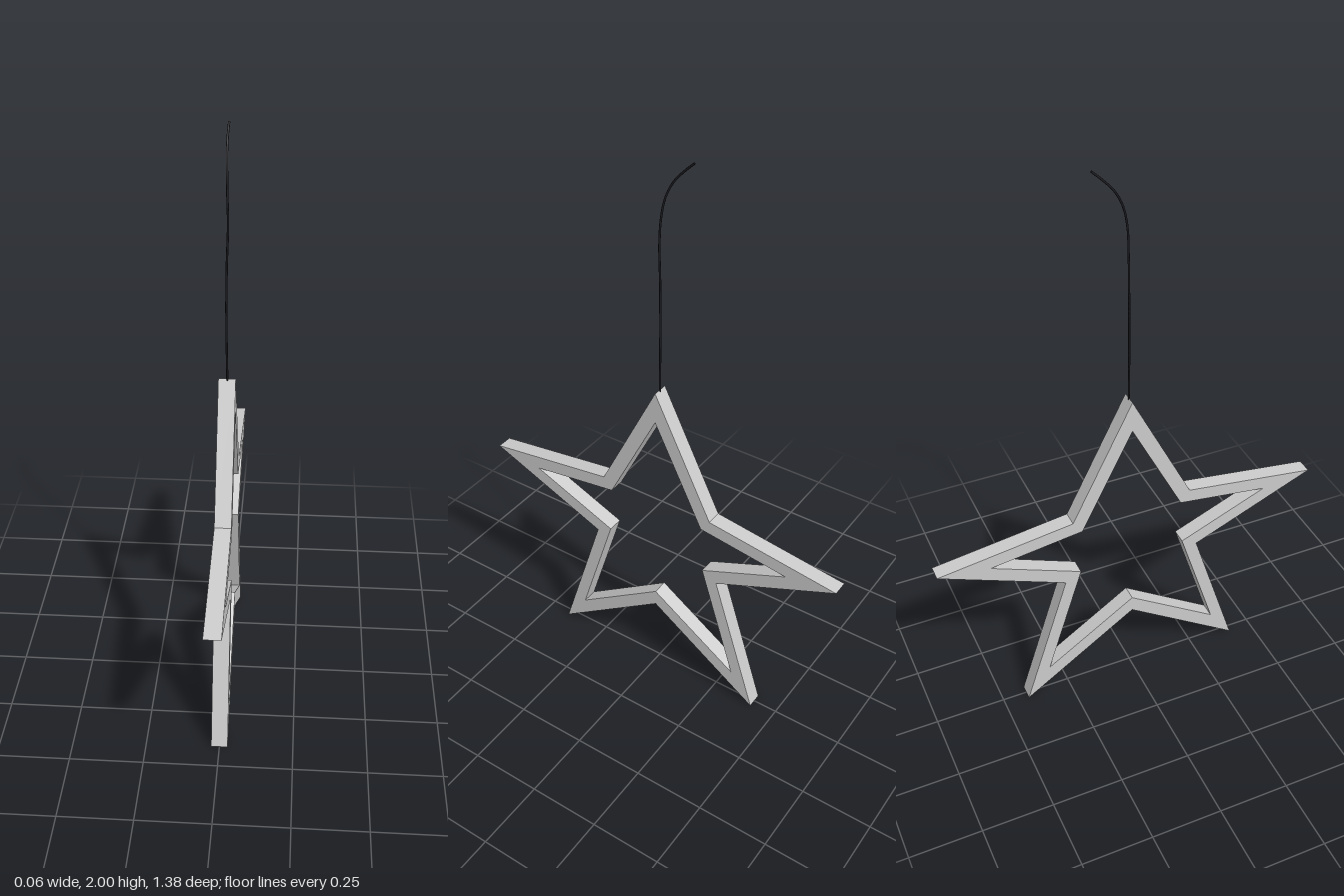
import * as THREE from 'three';

// Mirror half an outline (top to bottom, both ends on the axis) into a closed counter-clockwise one
function mirrored(half) {
  const left = half.map(([a, y]) => new THREE.Vector2(-a, y));
  const right = half.slice(1, -1).reverse().map(([a, y]) => new THREE.Vector2(a, y));
  return [...left, ...right];
}

export function createModel() {
  const group = new THREE.Group();
  const thickness = 0.056;

  // Open star frame, standing in the y-z plane
  const shape = new THREE.Shape(mirrored([
    [0, 1.2], [0.216, 0.769], [0.692, 0.703], [0.25, 0.513], [0.412, 0], [0, 0.282],
  ]));
  shape.holes.push(new THREE.Path(mirrored([
    [0, 1.087], [0.183, 0.724], [0.51, 0.679], [0.193, 0.544], [0.325, 0.123], [0, 0.342],
  ])));
  const starGeometry = new THREE.ExtrudeGeometry(shape, { depth: thickness, bevelEnabled: false });
  starGeometry.translate(0, 0, -thickness / 2).rotateY(Math.PI / 2);
  const star = new THREE.Mesh(starGeometry, new THREE.MeshStandardMaterial({ color: 0xcccccc }));
  star.name = 'starFrame';
  group.add(star);

  // Thin, slightly wavy hanging cord that bends backwards at its top
  const path = new THREE.CatmullRomCurve3([
    [0.001, 1.19, 0], [-0.002, 1.4, 0], [-0.001, 1.58, 0], [0.003, 1.72, 0], [0.001, 1.8, -0.004],
    [-0.001, 1.87, -0.018], [-0.003, 1.925, -0.045], [-0.003, 1.965, -0.08], [-0.001, 1.998, -0.115],
  ].map((p) => new THREE.Vector3(...p)));
  const cord = new THREE.Mesh(
    new THREE.TubeGeometry(path, 48, 0.0035, 8, false),
    new THREE.MeshStandardMaterial({ color: 0x1a1a1f, side: THREE.DoubleSide }),
  );
  cord.name = 'hangingCord';
  group.add(cord);

  return group;
}
